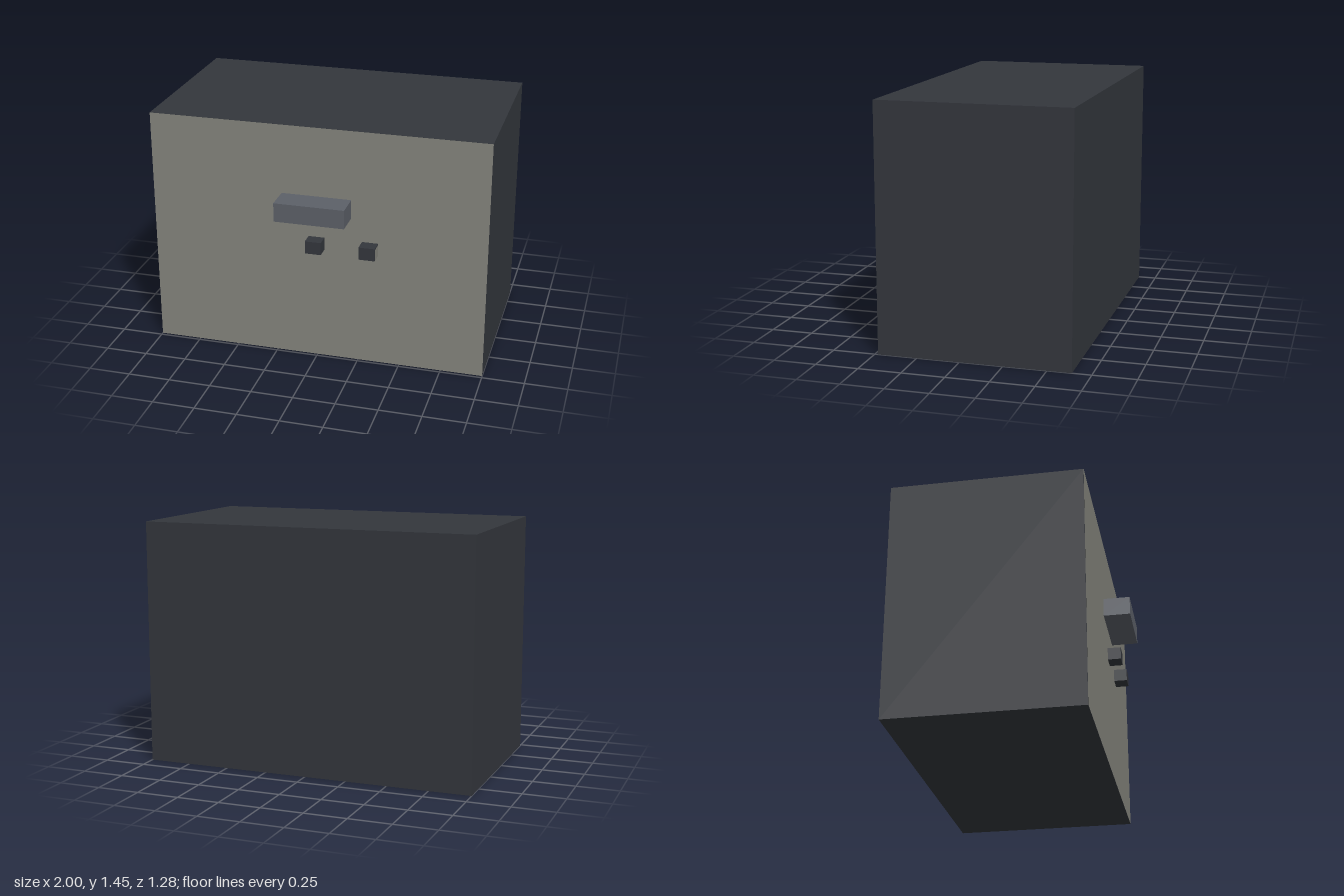
import * as THREE from 'three';

const DARK = 0x33363c, LIGHT = 0x84847c, BLUE = 0x5c6068;
const FRONT = 0.48;

function addMesh(parent, name, geometry, color, x, y, z) {
  const mesh = new THREE.Mesh(geometry, new THREE.MeshStandardMaterial({ color }));
  mesh.name = name;
  mesh.position.set(x, y, z);
  parent.add(mesh);
  return mesh;
}

export function createModel() {
  const model = new THREE.Group();
  model.name = 'cabinet';

  // Dark housing with a light facing on the front
  addMesh(model, 'housing', new THREE.BoxGeometry(2, 1.445, 1.12), DARK, 0, 0.7225, -0.08);
  addMesh(model, 'frontFacing', new THREE.PlaneGeometry(2, 1.445), LIGHT, 0, 0.7225, FRONT + 0.001);

  // Wide handle block
  addMesh(model, 'handle', new THREE.BoxGeometry(0.414, 0.113, 0.16), BLUE, -0.002, 0.972, FRONT + 0.08);

  // Two small knobs below the handle
  for (const [name, x] of [['centreKnob', -0.002], ['leftKnob', 0.317]]) {
    addMesh(model, name, new THREE.BoxGeometry(0.095, 0.076, 0.08), DARK, x, 0.737, FRONT + 0.04);
  }

  // Light outer cheek on the left knob
  const cheek = addMesh(model, 'knobCheek', new THREE.PlaneGeometry(0.08, 0.07), LIGHT, 0.3655, 0.734, FRONT + 0.04);
  cheek.rotation.y = Math.PI / 2;

  return model;
}
